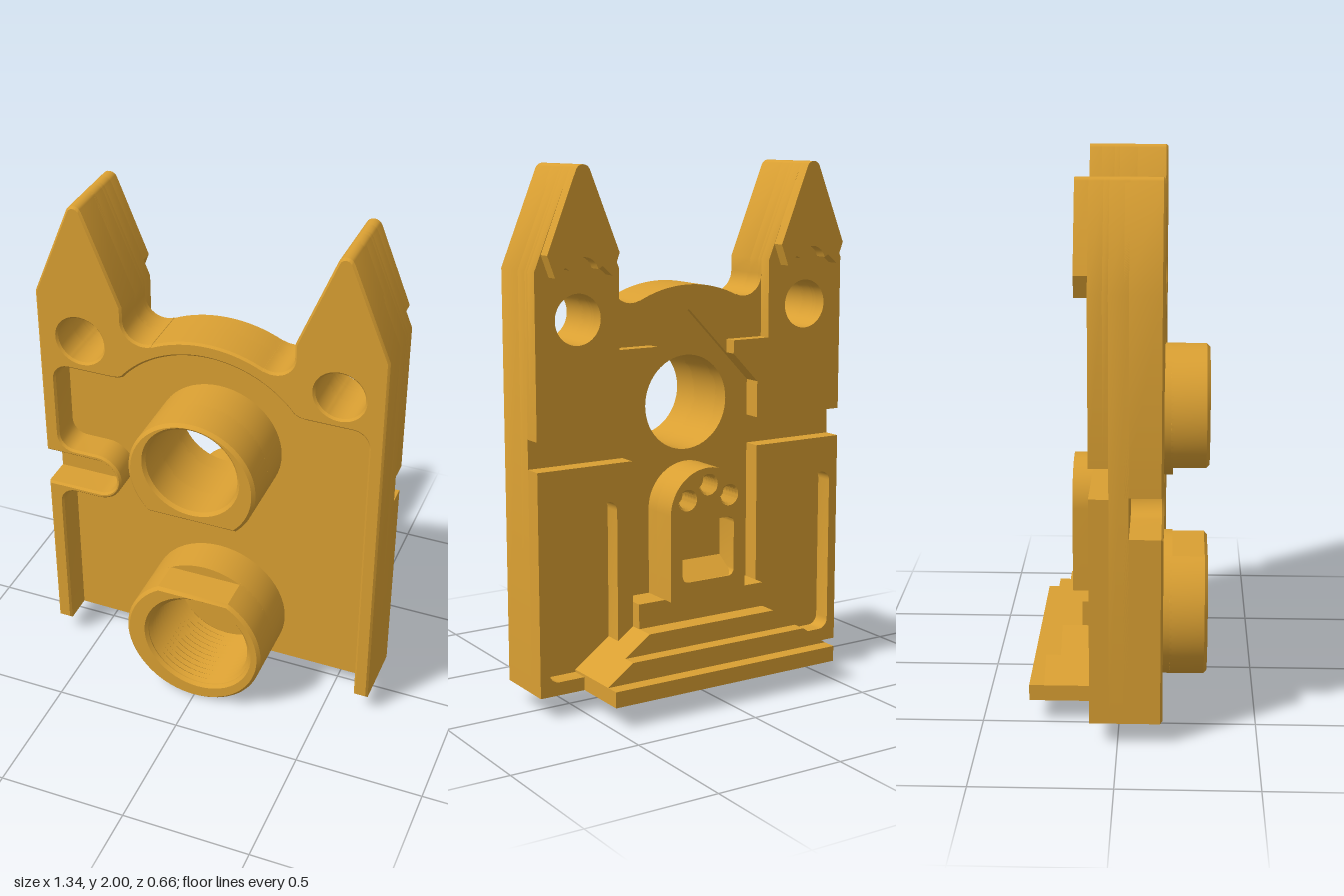
import * as THREE from 'three';
import { toCreasedNormals } from 'three/addons/utils/BufferGeometryUtils.js';

const brass = new THREE.MeshStandardMaterial({ color: 0xd99f32 });
brass.name = 'brass';

// Points on an arc, angles in degrees
function arc(cx, cy, r, a0, a1, n = 12) {
  const pts = [];
  for (let i = 0; i <= n; i++) {
    const a = THREE.MathUtils.degToRad(a0 + (a1 - a0) * i / n);
    pts.push([cx + r * Math.cos(a), cy + r * Math.sin(a)]);
  }
  return pts;
}
const circle = (cx, cy, r, n = 56) => arc(cx, cy, r, 0, 360, n).slice(0, -1);
const flip = pts => pts.map(([x, y]) => [-x, y]).reverse();
const rect = (x0, y0, x1, y1) => [[x0, y0], [x1, y0], [x1, y1], [x0, y1]];
const vec = pts => pts.map(p => new THREE.Vector2(...p));

// Rectangle with rounded corners
const roundRect = (x0, y0, x1, y1, r) => [
  ...arc(x1 - r, y0 + r, r, -90, 0, 6), ...arc(x1 - r, y1 - r, r, 0, 90, 6),
  ...arc(x0 + r, y1 - r, r, 90, 180, 6), ...arc(x0 + r, y0 + r, r, 180, 270, 6)];

export function createModel() {
  const model = new THREE.Group();
  const add = (name, geo) => {
    const mesh = new THREE.Mesh(geo, brass);
    mesh.name = name;
    model.add(mesh);
    return mesh;
  };
  // Flat outline extruded from z0 to z1, with optional holes and chamfer
  const slab = (name, pts, z0, z1, holes = [], bevel = 0) => {
    const shape = new THREE.Shape(vec(pts));
    shape.holes = holes.map(h => new THREE.Path(vec(h)));
    const geo = new THREE.ExtrudeGeometry(shape, {
      depth: z1 - z0 - 2 * bevel, bevelEnabled: bevel > 0, bevelSize: bevel,
      bevelThickness: bevel, bevelOffset: -bevel, bevelSegments: 1,
    });
    geo.translate(0, 0, z0 + bevel);
    return add(name, toCreasedNormals(geo, 0.5));
  };
  // Sawtooth lining of a threaded hole, facing inward
  const thread = (name, x, y, r, depth, z0, z1, turns) => {
    const pts = [];
    for (let i = 0; i <= turns * 2; i++) {
      pts.push(new THREE.Vector2(i % 2 ? r - depth : r, z1 + (z0 - z1) * i / (turns * 2)));
    }
    const geo = new THREE.LatheGeometry(pts, 40);
    geo.rotateX(Math.PI / 2);
    geo.translate(x, y, 0);
    add(name, toCreasedNormals(geo.toNonIndexed(), 0.4));
  };

  // Outline of one half: arch, valley, spire, side
  const spire = [[0.33, 1.63], ...arc(0.5, 1.97, 0.03, 158, 22, 8), [0.672, 1.63]];
  const archHalf = [...arc(0, 1.066, 0.485, 90, 63.9, 10), ...arc(0.25, 1.575, 0.08, 243.9, 360, 12)];
  const half = [...archHalf, ...spire];
  const top = [...flip(half).slice(0, -1), ...half];
  const towerHoles = [circle(0.5, 1.455, 0.093), circle(-0.5, 1.455, 0.093)];
  const upperHole = circle(0, 1.105, 0.18);
  const lowerHole = circle(0.02, 0.285, 0.212);

  // Core wall
  slab('coreWall', [...top, [0.672, 0.08], [-0.672, 0.08]], -0.03, 0.04,
    [...towerHoles, upperHole, lowerHole]);

  // Raised front rim, with the sunken panel edge and the side slot
  const corner = arc(0.555, 1.265, 0.06, 0, 90, 6);
  const panelArch = arc(0, 1.066, 0.43, 39, 141, 32);
  const rim = [
    ...top, [0.672, 0.08], [0.615, 0.08],
    ...corner, [0.375, 1.325], [0.352, 1.328], ...panelArch, [-0.352, 1.328], [-0.375, 1.325], ...flip(corner),
    ...arc(-0.555, 1.01, 0.06, 180, 270, 6),
    ...arc(-0.46, 0.85, 0.1, 90, -90, 16),
    ...arc(-0.555, 0.69, 0.06, 90, 180, 6),
    [-0.615, 0.08], [-0.672, 0.08], [-0.672, 0.775],
    ...arc(-0.455, 0.85, 0.075, -90, 90, 16), [-0.672, 0.925],
  ];
  slab('frontRim', rim, 0.015, 0.16, towerHoles, 0.008);

  // Back wall around the gabled niche
  slab('upperBackWall', [...top, [0.672, 1.03], [0.28, 1.03], [0.28, 1.17], [0, 1.46],
    [-0.28, 1.17], [-0.28, 1.03], [-0.672, 1.03]], -0.05, -0.03, towerHoles);

  for (const side of [1, -1]) {
    const m = pts => (side > 0 ? pts : flip(pts));
    // Tower back and stepped parapet
    slab('towerBack', m([[0.17, 1.284], [0.17, 1.335], [0.33, 1.335], ...spire,
      [0.672, 1.03], [0.28, 1.03], [0.28, 1.17]]), -0.1, -0.05, [circle(side * 0.5, 1.455, 0.093)]);
    // Spire roof with scalloped eaves
    const roof = [[0.355, 1.69], ...arc(0.5, 1.97, 0.03, 158, 22, 8), [0.645, 1.69],
      [0.615, 1.61], [0.575, 1.645], ...arc(0.5, 1.62, 0.06, 15, 165, 10), [0.425, 1.645], [0.385, 1.61]];
    slab('spireRoof', m(roof), -0.148, -0.1);
    // Lower wing with a sunken window
    slab('lowerWing', m(rect(0.28, 0.08, 0.672, 0.92)), -0.1, -0.03,
      [m(roundRect(0.345, 0.13, 0.635, 0.78, 0.04))]);
  }

  // Upper boss, flat cut on its lower side
  slab('upperBossBase', circle(0, 1.06, 0.25), 0.03, 0.19, [upperHole]);
  slab('upperBoss', arc(0, 1.06, 0.25, -46, 226, 56), 0.17, 0.325, [upperHole], 0.012);

  // Lower threaded boss, flat cut on its upper side
  slab('lowerBossFloor', circle(0, 0.28, 0.28), -0.03, 0);
  slab('lowerBossBase', circle(0, 0.28, 0.28), 0, 0.19, [lowerHole]);
  slab('lowerBoss', arc(0, 0.28, 0.28, 121, 419, 56), 0.17, 0.325, [lowerHole], 0.012);
  thread('lowerBossThread', 0.02, 0.285, 0.211, 0.012, 0, 0.31, 12);

  // Entrance stairs with sloping ends
  slab('bottomStep', rect(-0.49, 0.08, 0.49, 0.14), -0.33, -0.03);
  slab('middleStep', [[-0.49, 0.14], [0.49, 0.14], [0.385, 0.215], [-0.385, 0.215]], -0.275, -0.03);
  slab('topStep', [[-0.385, 0.215], [0.385, 0.215], [0.28, 0.29], [-0.28, 0.29]], -0.22, -0.03);
  slab('landing', rect(-0.28, 0.29, 0.28, 0.385), -0.145, -0.03);

  // Arched porch block with a window and three threaded holes
  const porch = [[-0.167, 0.385], [0.167, 0.385], ...arc(0, 0.713, 0.167, 0, 180, 28)];
  const studs = [[0.093, 0.765], [0, 0.815], [-0.093, 0.765]];
  slab('porchBack', porch, -0.09, -0.03);
  slab('porchFront', porch, -0.187, -0.09,
    [roundRect(-0.115, 0.45, 0.115, 0.68, 0.025), ...studs.map(([x, y]) => circle(x, y, 0.041, 28))]);
  studs.forEach(([x, y]) => thread('porchHoleThread', x, y, 0.0405, 0.008, -0.187, -0.09, 5));

  // Sloping window sill
  const sill = new THREE.Shape(vec([[0.09, 0.45], [0.18, 0.45], [0.09, 0.51]]));
  const sillGeo = new THREE.ExtrudeGeometry(sill, { depth: 0.23, bevelEnabled: false });
  sillGeo.rotateY(Math.PI / 2);
  sillGeo.translate(-0.115, 0, 0);
  add('windowSill', sillGeo);

  return model;
}
